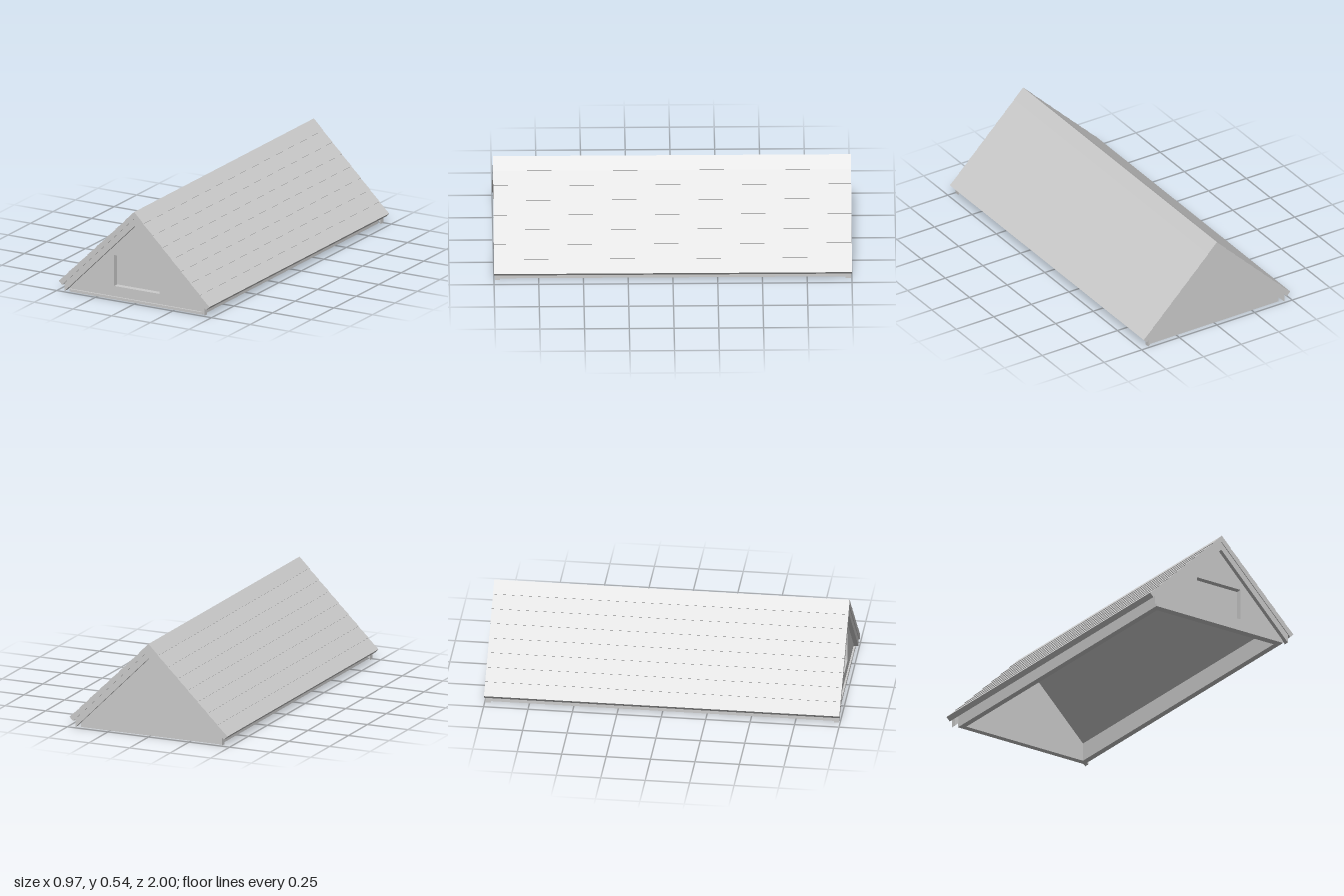
import * as THREE from 'three';

const grey = new THREE.MeshStandardMaterial({ color: 0xcccccc });
grey.name = 'light grey';

const SLOPE = 0.994; // pitch of the roof underside
const under = (x) => 0.5 - SLOPE * Math.abs(x);

export function createModel() {
  const group = new THREE.Group();

  const add = (name, geometry) => {
    const mesh = new THREE.Mesh(geometry, grey);
    mesh.name = name;
    group.add(mesh);
    return mesh;
  };

  // Extrudes a cross-section in xy between two depths
  const prism = (name, points, z0, z1, hole) => {
    const shape = new THREE.Shape(points.map(([x, y]) => new THREE.Vector2(x, y)));
    if (hole) shape.holes.push(new THREE.Path(hole.map(([x, y]) => new THREE.Vector2(x, y))));
    const geometry = new THREE.ExtrudeGeometry(shape, { depth: z1 - z0, bevelEnabled: false });
    geometry.translate(0, 0, z0);
    return add(name, geometry);
  };

  // Closes a half outline that runs from one ridge point to the other
  const mirrored = (half) => [
    ...half,
    ...half.slice(1, -1).reverse().map(([x, y]) => [-x, y]),
  ];

  // Roof with eight slightly overlapping courses of shingles on each slope
  const courses = 8;
  const step = 0.003;
  const roof = [[0, 0.54]];
  for (let i = 1; i <= courses; i++) {
    const x = (0.487 * i) / courses;
    const y = 0.54 - (0.48 * i) / courses;
    roof.push([x, y]);
    if (i < courses) roof.push([x - step * 0.7, y - step * 0.71]);
  }
  roof.push([0.465, 0.038], [0, 0.5]);
  // Each slope is its own slab, joined at the ridge
  prism('roofSlopeLeft', roof, -1, 1);
  prism('roofSlopeRight', roof.map(([x, y]) => [-x, y]).reverse(), -1, 1);

  // Barge boards under the roof edge at both ends
  const barge = mirrored([[0, 0.5], [0.452, under(0.452)], [0.452, 0.003], [0, 0.455]]);
  // Order the outline: outer side down, inner side back up, for both halves
  const bargeOutline = [
    barge[0], barge[1], barge[2], barge[3],
    [-0.452, 0.003], [-0.452, under(0.452)],
  ];
  prism('frontBargeBoard', bargeOutline, 0.965, 0.995);
  prism('backBargeBoard', bargeOutline, -0.995, -0.965);

  // Gable walls, the front one with a window opening
  const gable = [[-0.43, 0], [0.43, 0], [0.43, under(0.43)], [0, 0.5], [-0.43, under(0.43)]];
  const opening = [[-0.147, 0.075], [-0.147, 0.256], [0.147, 0.256], [0.147, 0.075]];
  prism('frontGable', gable, 0.936, 0.97, opening);
  prism('backGable', gable, -0.97, -0.936);

  // Window panel set at the back of the opening
  prism('windowPanel', opening, 0.926, 0.936);

  // Low sill along the foot of the front gable
  const sill = add('frontSill', new THREE.BoxGeometry(0.86, 0.015, 0.01));
  sill.position.set(0, 0.0075, 0.975);

  // Low side walls that carry the roof
  for (const s of [1, -1]) {
    prism(
      s > 0 ? 'sideWallLeft' : 'sideWallRight',
      [[s * 0.396, 0], [s * 0.43, 0], [s * 0.43, under(0.43)], [s * 0.396, under(0.396)]],
      -0.936, 0.936,
    );
  }

  return group;
}
